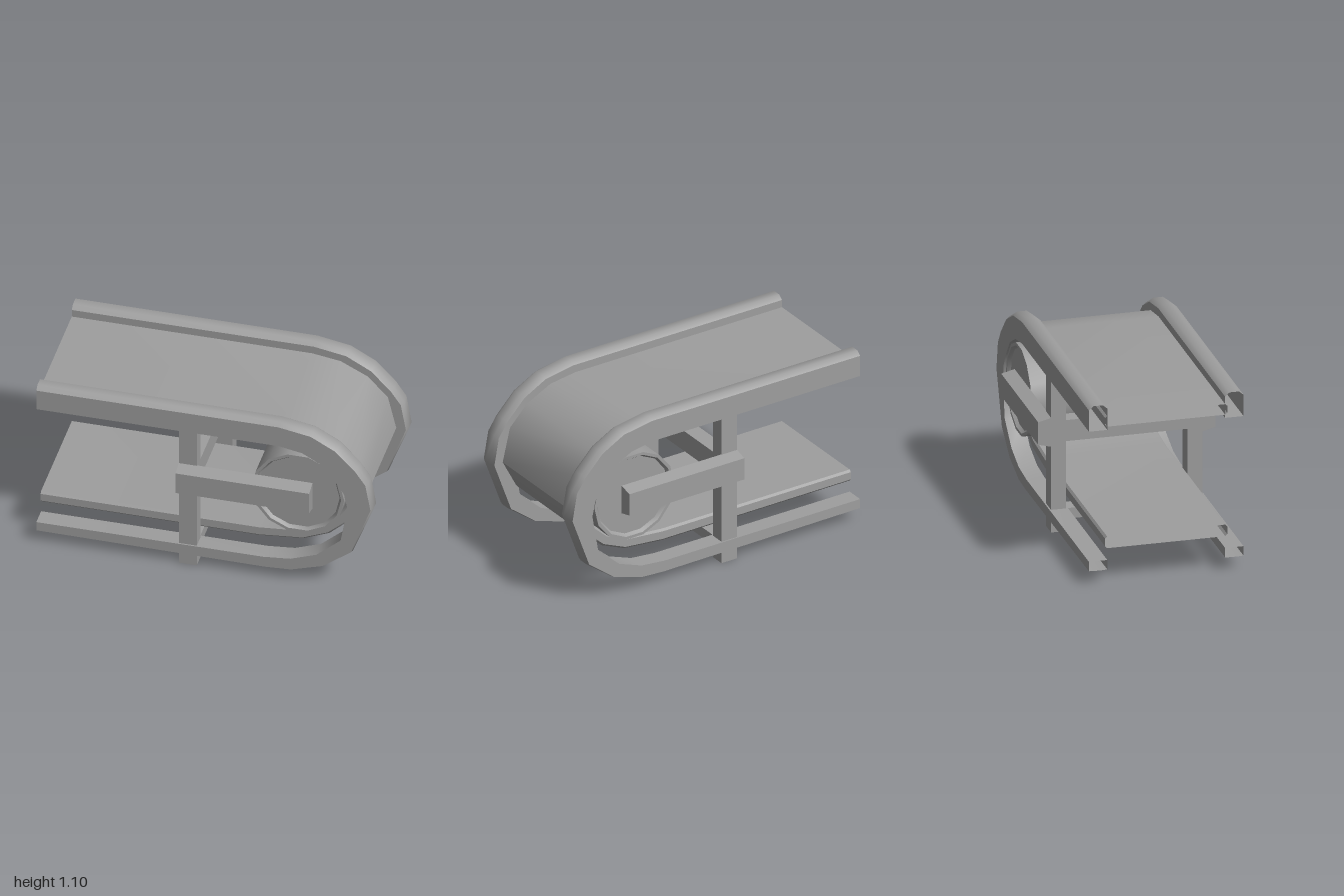
import * as THREE from 'three';
import { toCreasedNormals } from 'three/addons/utils/BufferGeometryUtils.js';

const material = new THREE.MeshStandardMaterial({ color: 0x9e9e9e });
const openMaterial = new THREE.MeshStandardMaterial({ color: 0x9e9e9e, side: THREE.DoubleSide });

function add(group, name, geometry, x = 0, y = 0, z = 0, mat = material) {
  const mesh = new THREE.Mesh(geometry, mat);
  mesh.name = name;
  mesh.position.set(x, y, z);
  group.add(mesh);
}

// Open-ended sweep. Each station is [innerX, innerY, outerX, outerY];
// section(t) gives [z, height] points, height 0 = inner edge, 1 = outer edge.
function sweep(stations, section, crease) {
  const positions = [], index = [];
  const count = section(0).length;
  stations.forEach(([ix, iy, ox, oy], i) => {
    for (const [z, h] of section(i / (stations.length - 1))) {
      positions.push(ix + (ox - ix) * h, iy + (oy - iy) * h, z);
    }
    if (i === 0) return;
    for (let j = 0; j < count; j++) {
      const k = (j + 1) % count;
      const a = (i - 1) * count + j, b = (i - 1) * count + k;
      const c = i * count + k, d = i * count + j;
      index.push(a, b, c, a, c, d);
    }
  });
  const g = new THREE.BufferGeometry();
  g.setAttribute('position', new THREE.Float32BufferAttribute(positions, 3));
  g.setIndex(index);
  return toCreasedNormals(g, crease);
}

// Side rail: deep on top, slim underneath, chamfer fading out along the bend
const railPath = [
  [-1, 0.945, -1, 1.1], [0.44, 0.945, 0.44, 1.1], [0.58, 0.92, 0.64, 1.064],
  [0.7, 0.855, 0.79, 0.98], [0.78, 0.755, 0.91, 0.855], [0.83, 0.67, 0.97, 0.765],
  [0.85, 0.575, 1, 0.585], [0.81, 0.34, 0.877, 0.262], [0.665, 0.212, 0.706, 0.134],
  [0.51, 0.155, 0.513, 0.075], [0.35, 0.14, 0.36, 0.068], [-1, 0.14, -1, 0.08],
];
const railSection = (t) => {
  const edge = 0.85 + 0.12 * t;
  return [[-0.055, edge], [-0.028, 1], [0.028, 1], [0.055, edge], [0.055, 0], [-0.055, 0]];
};

// Belt: wraps around the drum, with chamfered edges
const beltPath = [
  [-1, 0.965, -1, 1.03], [0.43, 0.965, 0.43, 1.03], [0.58, 0.94, 0.6, 1.005],
  [0.72, 0.87, 0.76, 0.925], [0.82, 0.765, 0.88, 0.8], [0.855, 0.585, 0.93, 0.59],
  [0.78, 0.455, 0.835, 0.41], [0.68, 0.365, 0.715, 0.3], [0.55, 0.305, 0.56, 0.235],
  [0.3, 0.285, 0.3, 0.21], [-1, 0.285, -1, 0.213],
];
const beltSection = () => [
  [-0.353, 1], [0.353, 1], [0.365, 0.83], [0.365, 0.17],
  [0.353, 0], [-0.353, 0], [-0.365, 0.17], [-0.365, 0.83],
];

export function createModel() {
  const model = new THREE.Group();
  model.name = 'conveyorEnd';

  add(model, 'belt', sweep(beltPath, beltSection, 0.68), 0, 0, 0, openMaterial);

  // Drum with a raised rim at each end
  const half = [[0.276, 0.45], [0.258, 0.45], [0.244, 0.43], [0, 0.43]];
  const profile = [...half.map(([r, h]) => [r, -h]).reverse(), ...half]
    .map(([r, h]) => new THREE.Vector2(r, h));
  const drum = new THREE.LatheGeometry(profile, 14, Math.PI / 14).rotateX(Math.PI / 2);
  add(model, 'drum', toCreasedNormals(drum, 0.6), 0.552, 0.617, 0);

  for (const side of [1, -1]) {
    const name = side > 0 ? 'front' : 'back';
    add(model, name + 'Rail', sweep(railPath, railSection, 0.8), 0, 0, side * 0.407, openMaterial);
    add(model, name + 'Leg', new THREE.BoxGeometry(0.107, 0.95, 0.09), -0.1015, 0.475, side * 0.408);

    // Axle bar, tapered towards its outer face
    const bar = new THREE.BoxGeometry(0.795, 0.18, 0.08);
    const p = bar.attributes.position;
    for (let i = 0; i < p.count; i++) {
      if (p.getZ(i) * side > 0) p.setY(i, p.getY(i) * 0.77);
    }
    bar.computeVertexNormals();
    add(model, name + 'AxleBar', bar, 0.2425, 0.62, side * 0.49);
  }

  // Cross beams joining the legs
  add(model, 'lowerCrossBeam', new THREE.BoxGeometry(0.1, 0.065, 0.74), -0.1025, 0.1075, 0);
  add(model, 'upperCrossBeam', new THREE.BoxGeometry(0.1, 0.13, 0.74), -0.1025, 0.62, 0);

  return model;
}
